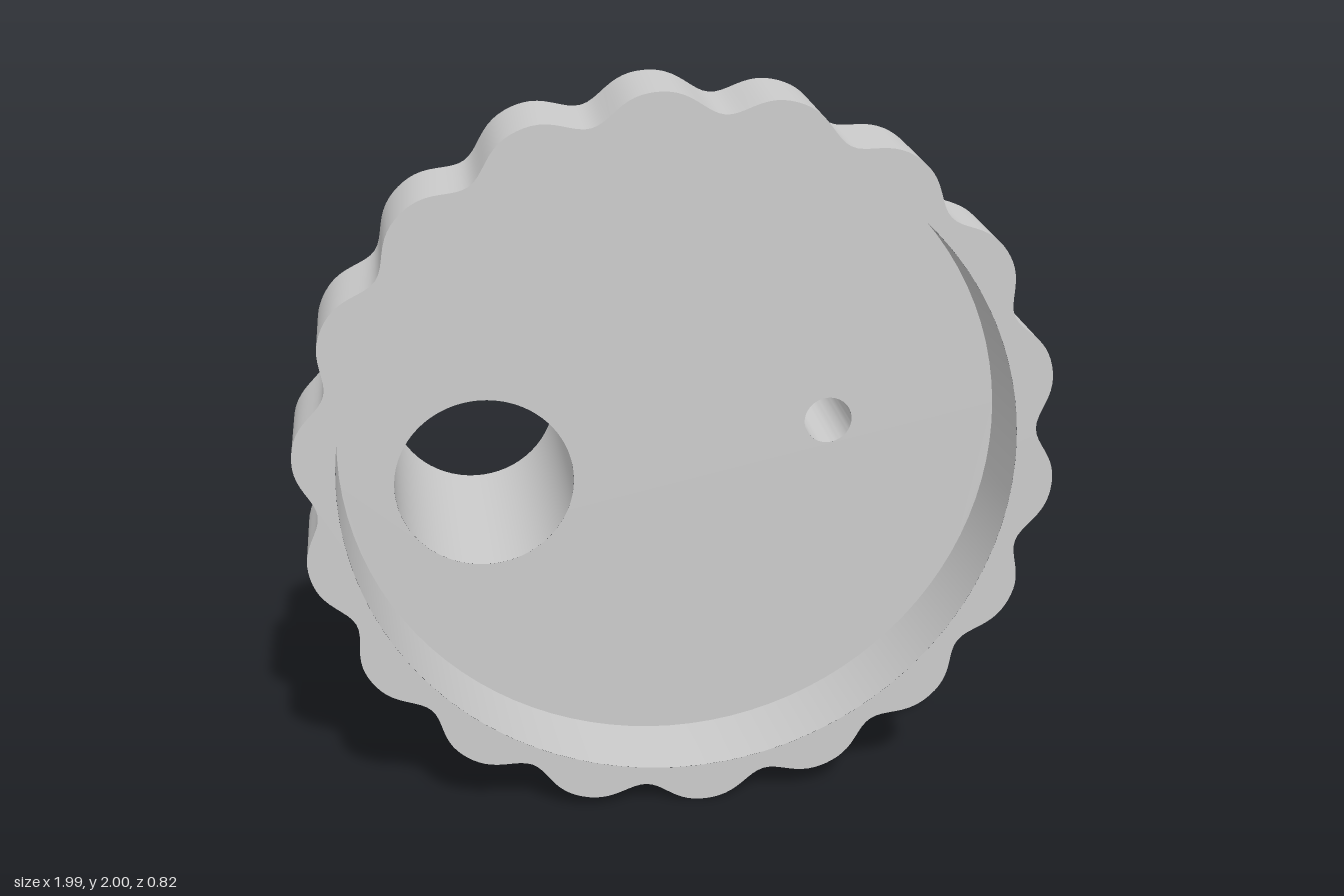
import * as THREE from 'three';
import { toCreasedNormals } from 'three/addons/utils/BufferGeometryUtils.js';

const CX = -0.005, CY = 1.0;              // cap centre
const FRONT = 0.41, FLOOR = 0.19, BACK = 0.14, TIP = -0.41;
const RECESS_R = 0.89, LOBES = 18, STEPS = 360, EDGE = 0.025;
const wideTube = { x: -0.51, y: 0.9, bore: 0.24, tip: 0.27, base: 0.274 };
const thinTube = { x: 0.425, y: 1.03, bore: 0.065, tip: 0.094, base: 0.104 };

// Scalloped outline, counter-clockwise seen from the front
function outline(inset) {
  const points = [];
  for (let i = 0; i < STEPS; i++) {
    const a = (i / STEPS) * Math.PI * 2;
    const p = LOBES * (a - THREE.MathUtils.degToRad(14));
    const r = 0.975 + 0.029 * Math.cos(p) - 0.004 * Math.cos(2 * p) - inset;
    points.push(new THREE.Vector2(CX + r * Math.cos(a), CY + r * Math.sin(a)));
  }
  return points;
}

function circle(Type, x, y, r) {
  return new Type().absarc(x, y, r, 0, Math.PI * 2, false);
}

// Reverse the faces of an indexed geometry
function flip(geometry) {
  const index = geometry.index;
  for (let i = 0; i < index.count; i += 3) {
    const a = index.getX(i);
    index.setX(i, index.getX(i + 1));
    index.setX(i + 1, a);
  }
  geometry.computeVertexNormals();
  return geometry;
}

// Scalloped side wall with a rounded back edge
function sideWall() {
  const rings = [[0, FRONT], [0, BACK + EDGE]];
  for (let k = 1; k <= 5; k++) {
    const t = (k / 5) * Math.PI / 2;
    rings.push([EDGE * (1 - Math.cos(t)), BACK + EDGE * (1 - Math.sin(t))]);
  }
  const position = [], index = [];
  rings.forEach(([inset, z], j) => {
    outline(inset).forEach((p, i) => {
      position.push(p.x, p.y, z);
      if (j === rings.length - 1) return;
      const a = j * STEPS + i, b = j * STEPS + (i + 1) % STEPS;
      index.push(a, a + STEPS, b, b, a + STEPS, b + STEPS);
    });
  });
  const geometry = new THREE.BufferGeometry();
  geometry.setAttribute('position', new THREE.Float32BufferAttribute(position, 3));
  geometry.setIndex(index);
  geometry.computeVertexNormals();
  return geometry;
}

// Hollow tapered tube with a small fillet at the foot, open through the plate
function tube({ bore, tip, base }) {
  const profile = [], f = 0.015, c = 0.008;
  for (let k = 0; k <= 4; k++) {
    const t = (k / 4) * Math.PI / 2;
    profile.push(new THREE.Vector2(base + f * (1 - Math.sin(t)), -BACK + f * (1 - Math.cos(t))));
  }
  profile.push(
    new THREE.Vector2(tip, -TIP - c),
    new THREE.Vector2(tip - c * 0.3, -TIP - c * 0.3),
    new THREE.Vector2(tip - c, -TIP),
    new THREE.Vector2(bore, -TIP),
    new THREE.Vector2(bore, -FLOOR)
  );
  const geometry = new THREE.LatheGeometry(profile, 64);
  geometry.rotateX(-Math.PI / 2);
  return toCreasedNormals(geometry, 0.9);
}

export function createModel() {
  const group = new THREE.Group();
  const material = new THREE.MeshStandardMaterial({ color: 0xcccccc });
  const add = (name, geometry, x = 0, y = 0, z = 0) => {
    const mesh = new THREE.Mesh(geometry, material);
    mesh.name = name;
    mesh.position.set(x, y, z);
    group.add(mesh);
  };
  const tubes = [wideTube, thinTube];

  add('scallopedWall', sideWall());

  // Flat rim around the recess
  const rim = new THREE.Shape(outline(0));
  rim.holes.push(circle(THREE.Path, CX, CY, RECESS_R));
  add('frontRim', new THREE.ShapeGeometry(rim, 96), 0, 0, FRONT);

  // Recess wall and floor
  const wall = new THREE.CylinderGeometry(RECESS_R, RECESS_R, FRONT - FLOOR, 96, 1, true);
  add('recessWall', flip(wall.rotateX(Math.PI / 2)), CX, CY, (FRONT + FLOOR) / 2);
  const floor = circle(THREE.Shape, CX, CY, RECESS_R);
  tubes.forEach(t => floor.holes.push(circle(THREE.Path, t.x, t.y, t.bore)));
  add('recessFloor', new THREE.ShapeGeometry(floor, 96), 0, 0, FLOOR);

  // Back face
  const back = new THREE.Shape(outline(EDGE));
  tubes.forEach(t => back.holes.push(circle(THREE.Path, t.x, t.y, t.base)));
  add('backPlate', flip(new THREE.ShapeGeometry(back, 64)), 0, 0, BACK);

  // Spouts on the back
  add('wideTube', tube(wideTube), wideTube.x, wideTube.y);
  add('thinTube', tube(thinTube), thinTube.x, thinTube.y);
  return group;
}
